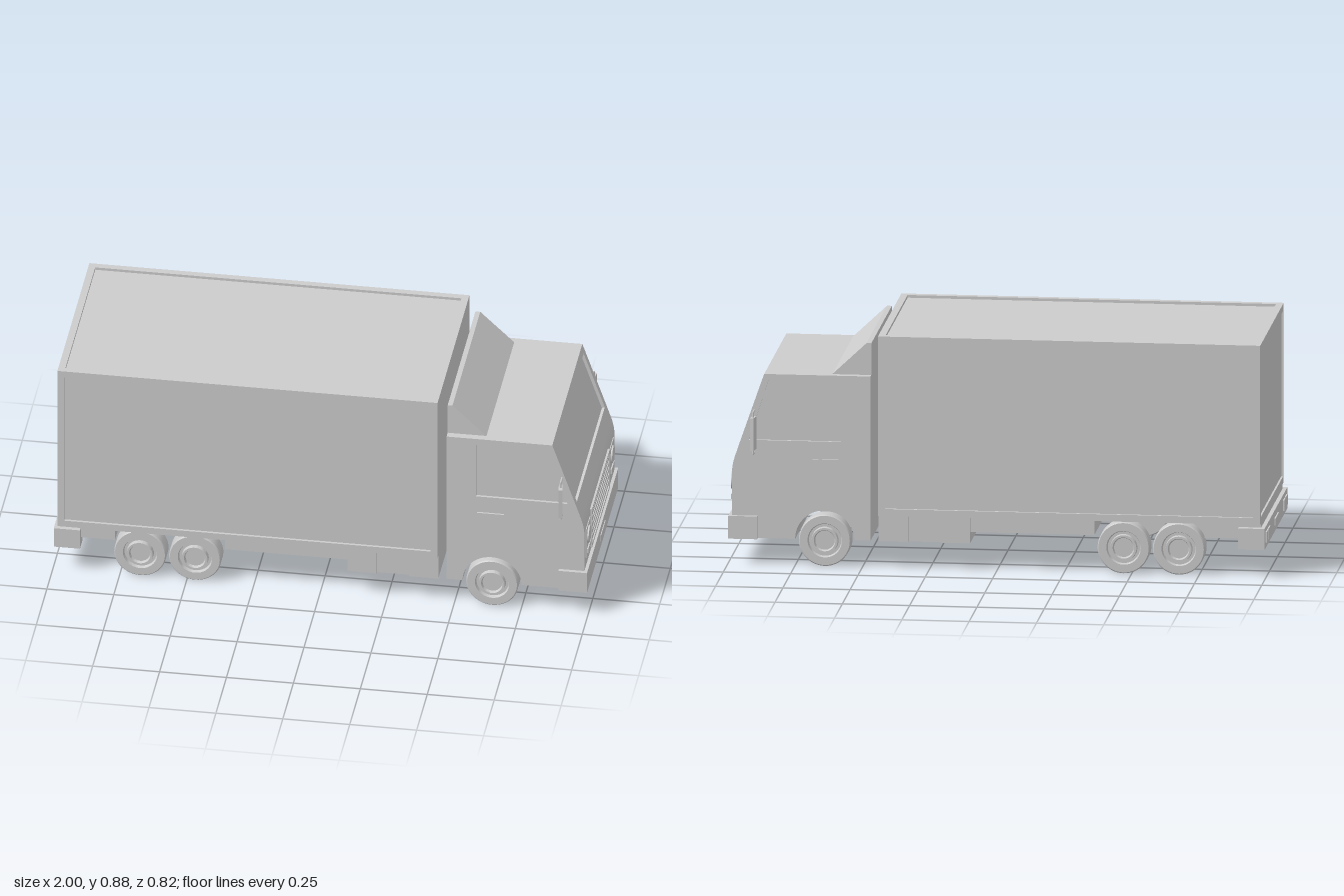
import * as THREE from 'three';
import { toCreasedNormals } from 'three/addons/utils/BufferGeometryUtils.js';

const grey = new THREE.MeshStandardMaterial({ color: 0xcccccc });

export function createModel() {
  const truck = new THREE.Group();
  truck.name = 'boxTruck';

  const add = (name, geometry, parent = truck) => {
    const mesh = new THREE.Mesh(geometry, grey);
    mesh.name = name;
    parent.add(mesh);
    return mesh;
  };
  // Box given by its limits on each axis
  const block = (name, x0, x1, y0, y1, z0, z1, parent) => {
    const g = new THREE.BoxGeometry(x1 - x0, y1 - y0, z1 - z0);
    g.translate((x0 + x1) / 2, (y0 + y1) / 2, (z0 + z1) / 2);
    return add(name, g, parent);
  };
  // Side profile in x/y, extruded from z0 to z1
  const slab = (name, shape, z0, z1, parent) => {
    const g = new THREE.ExtrudeGeometry(shape, { depth: z1 - z0, bevelEnabled: false, curveSegments: 20 });
    g.translate(0, 0, z0);
    return add(name, toCreasedNormals(g, 0.5), parent);
  };
  const polygon = (pts) => new THREE.Shape(pts.map(([x, y]) => new THREE.Vector2(x, y)));
  const group = (name) => {
    const g = new THREE.Group();
    g.name = name;
    truck.add(g);
    return g;
  };

  // Cargo body: recessed panels inside a raised frame, plain front wall
  const cargo = group('cargoBody');
  const X0 = -0.98, X1 = 0.44, Y0 = 0.2, Y1 = 0.877, Z = 0.377, W = 0.026, D = 0.01;
  block('cargoPanels', X0 + D, X1, Y0, Y1 - D, -Z + D, Z - D, cargo);
  for (const s of [-1, 1]) {
    const za = s > 0 ? Z - W : -Z, zb = za + W;
    block('topRail', X0, X1, Y1 - W, Y1, za, zb, cargo);
    block('bottomRail', X0, X1, Y0, Y0 + W, za, zb, cargo);
    block('rearPost', X0, X0 + W, Y0 + W, Y1 - W, za, zb, cargo);
    block('frontPost', X1 - W, X1, Y0 + W, Y1 - W, za, zb, cargo);
    block('rearDoor', X0 + 0.005, X0 + 0.02, Y0 + W + 0.004, Y1 - W - 0.004,
      s > 0 ? 0.002 : -Z + W + 0.004, s > 0 ? Z - W - 0.004 : -0.002, cargo);
  }
  for (const [x, y] of [[X0, Y0], [X0, Y1 - W], [X1 - W, Y0], [X1 - W, Y1 - W]])
    block('crossRail', x, x + W, y, y + W, -Z + W, Z - W, cargo);

  // Chassis, open across the rear wheels, with lockers behind the cab
  block('rearChassis', X0, -0.77, 0.14, 0.2, -0.345, 0.345);
  block('middleChassis', -0.36, 0.1, 0.14, 0.2, -0.345, 0.345);
  block('rearLocker', 0.1, 0.21, 0.1, 0.2, -0.36, 0.36);
  block('middleLocker', 0.21, 0.33, 0.1, 0.2, -0.35, 0.35);
  block('frontLocker', 0.33, 0.44, 0.1, 0.2, -0.36, 0.36);

  // Cab outline with a round wheel arch; the middle slice sinks the windscreen
  const cabShape = (sunkenScreen) => {
    const s = new THREE.Shape();
    s.moveTo(0.47, 0.1);
    s.lineTo(0.53, 0.1);
    s.absarc(0.64, 0.1, 0.11, Math.PI, 0, true);
    s.lineTo(0.985, 0.1);
    s.lineTo(0.985, 0.34);
    s.quadraticCurveTo(0.985, 0.375, 0.971, 0.415);
    s.lineTo(0.953, 0.468);
    if (sunkenScreen) {
      s.lineTo(0.942, 0.464);
      s.lineTo(0.863, 0.691);
    }
    s.lineTo(0.874, 0.695);
    s.lineTo(0.865, 0.72);
    s.lineTo(0.47, 0.72);
    s.closePath();
    return s;
  };
  const cab = group('cab');
  slab('cabCentre', cabShape(true), -0.33, 0.33, cab);
  const doorSkin = cabShape(false);
  doorSkin.holes.push(polygon([[0.58, 0.47], [0.58, 0.695], [0.85, 0.695], [0.922, 0.47]]));
  for (const s of [-1, 1]) {
    slab('cabPillar', cabShape(false), s > 0 ? 0.33 : -0.345, s > 0 ? 0.345 : -0.33, cab);
    slab('cabSide', doorSkin, s > 0 ? 0.345 : -0.355, s > 0 ? 0.355 : -0.345, cab);
    block('doorHandle', 0.585, 0.685, 0.393, 0.403, s > 0 ? 0.355 : -0.362, s > 0 ? 0.362 : -0.355, cab);
  }
  slab('windDeflector', polygon([[0.47, 0.72], [0.615, 0.72], [0.488, 0.84], [0.47, 0.84]]), -0.328, 0.328, cab);

  // Grille: frame with horizontal slats
  const grille = group('grille');
  block('grilleTop', 0.975, 0.991, 0.353, 0.365, -0.21, 0.21, grille);
  block('grilleBottom', 0.98, 0.991, 0.198, 0.21, -0.21, 0.21, grille);
  for (const z of [-0.21, 0.2]) block('grilleSide', 0.98, 0.991, 0.21, 0.353, z, z + 0.01, grille);
  for (let i = 0; i < 5; i++) {
    const y = 0.224 + i * 0.0265;
    block('grilleSlat', 0.98, 0.99, y, y + 0.0145, -0.2, 0.2, grille);
  }

  // Headlamp units
  for (const s of [-1, 1]) {
    const lamp = group('headlampUnit');
    const zc = s * 0.277;
    block('lampPanel', 0.975, 0.988, 0.222, 0.345, zc - 0.046, zc + 0.046, lamp);
    block('indicator', 0.98, 0.993, 0.235, 0.254, zc - 0.034, zc + 0.034, lamp);
    const lens = new THREE.CylinderGeometry(0.033, 0.033, 0.016, 32).rotateZ(-Math.PI / 2);
    add('headlamp', lens.translate(0.986, 0.3, zc), lamp);
  }

  // Bumpers with plates and tail lamps
  block('frontBumper', 0.89, 0.997, 0.098, 0.184, -0.369, 0.369);
  block('frontPlate', 0.99, 1, 0.127, 0.153, -0.055, 0.055);
  block('rearBumper', -0.995, -0.97, 0.104, 0.184, -0.369, 0.369);
  block('rearPlate', -1, -0.99, 0.13, 0.156, -0.055, 0.055);
  for (const s of [-1, 1]) {
    const zs = (a, b) => (s > 0 ? [a, b] : [-b, -a]);
    block('rearBumperEnd', -0.97, -0.897, 0.104, 0.184, ...zs(0.31, 0.369));
    block('tailLampOuter', -1, -0.99, 0.125, 0.165, ...zs(0.282, 0.335));
    block('tailLampInner', -1, -0.99, 0.125, 0.165, ...zs(0.222, 0.275));
  }

  // Mirrors on bent tube brackets
  for (const s of [-1, 1]) {
    const mirror = group('mirror');
    const path = new THREE.CurvePath();
    const pts = [[0.35, 0.424], [0.391, 0.424], [0.391, 0.582], [0.35, 0.582]]
      .map(([z, y]) => new THREE.Vector3(0.902, y, s * z));
    for (let i = 0; i < 3; i++) path.add(new THREE.LineCurve3(pts[i], pts[i + 1]));
    add('mirrorBracket', new THREE.TubeGeometry(path, 40, 0.004, 8), mirror);
    const head = add('mirrorHead', new THREE.BoxGeometry(0.014, 0.123, 0.041), mirror);
    head.position.set(0.902, 0.502, s * 0.391);
    head.rotation.y = s * 0.15;
  }

  // Wheels: tyre, sunken rim and raised hub ring in one turned profile
  const profile = [[0, -0.032], [0.093, -0.032], [0.097, -0.028], [0.097, 0.028], [0.093, 0.032], [0.064, 0.032],
    [0.06, 0.02], [0.05, 0.02], [0.048, 0.037], [0.04, 0.037], [0.036, 0.026], [0, 0.026]];
  const wheel = toCreasedNormals(
    new THREE.LatheGeometry(profile.map(([r, y]) => new THREE.Vector2(r, y)), 48), 0.5);
  for (const x of [-0.675, -0.47, 0.64])
    for (const s of [-1, 1]) {
      const w = add(x > 0 ? 'frontWheel' : 'rearWheel', wheel);
      w.position.set(x, 0.097, s * 0.323);
      w.rotation.x = s * Math.PI / 2;
    }

  return truck;
}
